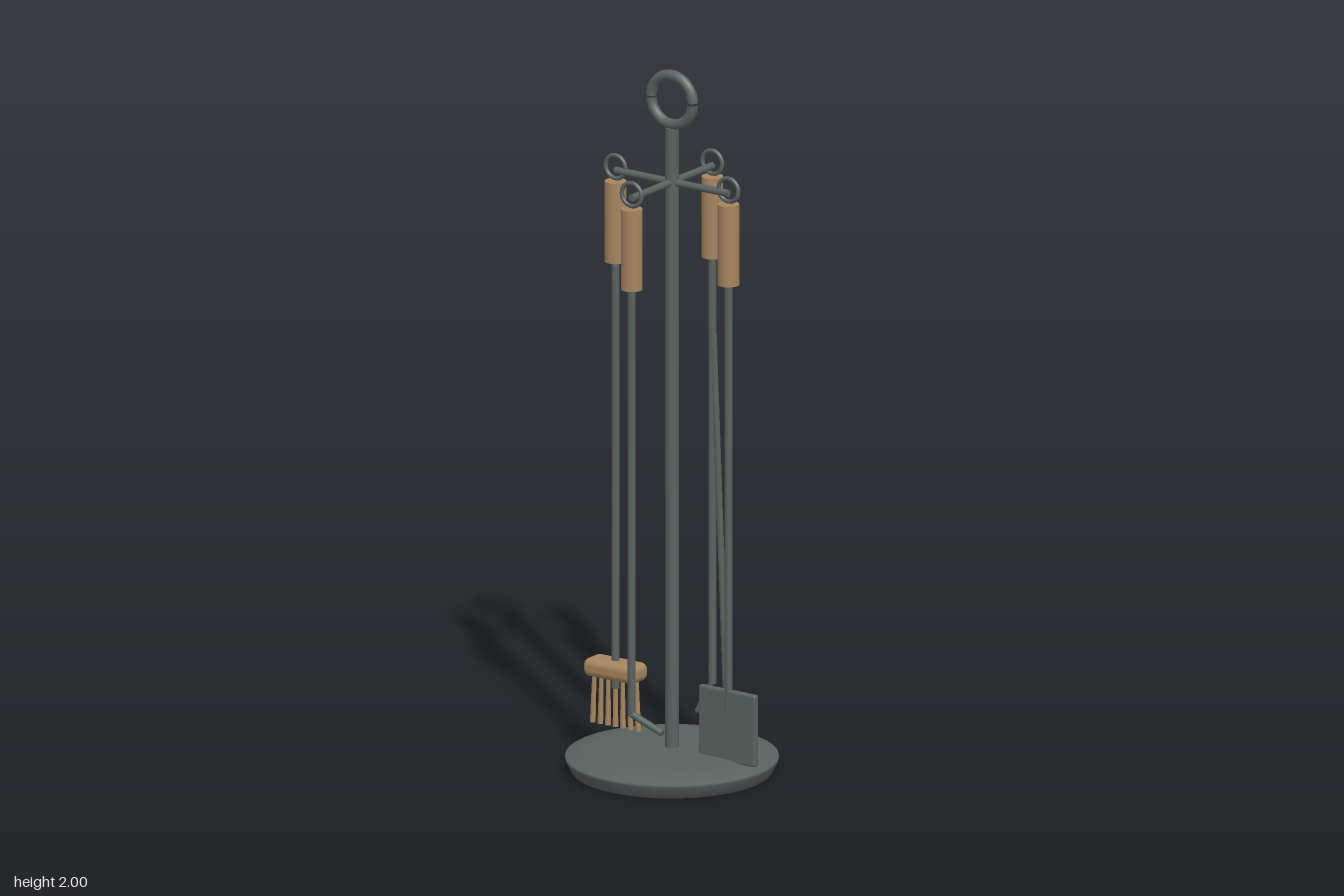
import * as THREE from 'three';
import { RoundedBoxGeometry } from 'three/addons/geometries/RoundedBoxGeometry.js';

export function createModel() {
  const model = new THREE.Group();
  model.name = 'fireplaceToolSet';
  const iron = new THREE.MeshStandardMaterial({ name: 'iron', color: 0x59625e });
  const wood = new THREE.MeshStandardMaterial({ name: 'wood', color: 0xa5855f });

  const add = (parent, name, geometry, material, x = 0, y = 0, z = 0) => {
    const mesh = new THREE.Mesh(geometry, material);
    mesh.name = name;
    mesh.position.set(x, y, z);
    parent.add(mesh);
    return mesh;
  };
  // Round bar running between two points
  const bar = (parent, name, a, b, radius, material = iron, endRadius = radius) => {
    const from = new THREE.Vector3(...a), to = new THREE.Vector3(...b);
    const dir = to.clone().sub(from);
    const mesh = add(parent, name, new THREE.CylinderGeometry(endRadius, radius, dir.length(), 16), material);
    mesh.position.copy(from).add(to).multiplyScalar(0.5);
    mesh.quaternion.setFromUnitVectors(new THREE.Vector3(0, 1, 0), dir.normalize());
    return mesh;
  };

  // Dished round base with a sloping shoulder
  const profile = [[0, 0.005], [0.265, 0.005], [0.276, 0.006], [0.293, 0.034], [0.293, 0.042],
    [0.25, 0.055], [0.2, 0.065], [0, 0.067]].map(([r, y]) => new THREE.Vector2(r, y));
  profile[0].y = profile[1].y = profile[2].y = 0;
  add(model, 'base', new THREE.LatheGeometry(profile, 40), iron);

  // Post and carrying ring made of two arcs
  bar(model, 'post', [0, 0.06, 0], [0, 1.835, 0], 0.019);
  for (const start of [0, Math.PI]) {
    const arc = add(model, 'carryingRing', new THREE.TorusGeometry(0.07, 0.015, 12, 32, Math.PI - 0.08), iron, 0, 1.915);
    arc.rotation.z = start + 0.04;
  }

  // Four hanging arms
  bar(model, 'crossArm', [-0.19, 1.68, 0], [0.19, 1.68, 0], 0.01);
  bar(model, 'crossArm', [0, 1.68, -0.19], [0, 1.68, 0.19], 0.01);

  // Shared tool: ring, wooden handle and rod
  const tool = (name, x, z, rodEnd) => {
    const group = new THREE.Group();
    group.name = name;
    group.position.set(x, 0, z);
    model.add(group);
    add(group, 'hangingRing', new THREE.TorusGeometry(0.033, 0.006, 10, 28), iron, 0, 1.69);
    add(group, 'handle', new THREE.CylinderGeometry(0.03, 0.03, 0.23, 24), wood, 0, 1.535);
    bar(group, 'rod', [0, rodEnd, 0], [0, 1.43, 0], 0.011);
    return group;
  };

  // Brush
  const brush = tool('brush', -0.19, 0, 0.2);
  add(brush, 'brushHead', new RoundedBoxGeometry(0.174, 0.052, 0.08, 4, 0.02), wood, 0, 0.254);
  for (let i = -3; i <= 3; i++) {
    bar(brush, 'bristle', [i * 0.0255, 0.09, 0], [i * 0.0235, 0.24, 0], 0.008, wood, 0.006);
  }

  // Shovel
  const shovel = tool('shovel', 0.19, 0, 0.2);
  add(shovel, 'shovelBlade', new RoundedBoxGeometry(0.19, 0.205, 0.02, 2, 0.006), iron, 0, 0.159);

  // Poker with a side hook
  const poker = tool('poker', 0, 0.19, 0.2);
  bar(poker, 'pokerHook', [-0.004, 0.207, 0], [0.103, 0.168, 0], 0.01);

  // Tongs with a second leg and splayed feet
  const tongs = tool('tongs', 0, -0.19, 0.2);
  bar(tongs, 'tongsLeg', [0.004, 1.2, 0], [0.045, 0.2, 0], 0.009);
  bar(tongs, 'tongsFoot', [0.045, 0.205, 0], [0.054, 0.112, 0], 0.008);
  bar(tongs, 'tongsFoot', [0.002, 0.21, 0], [-0.05, 0.112, 0], 0.008);

  return model;
}
